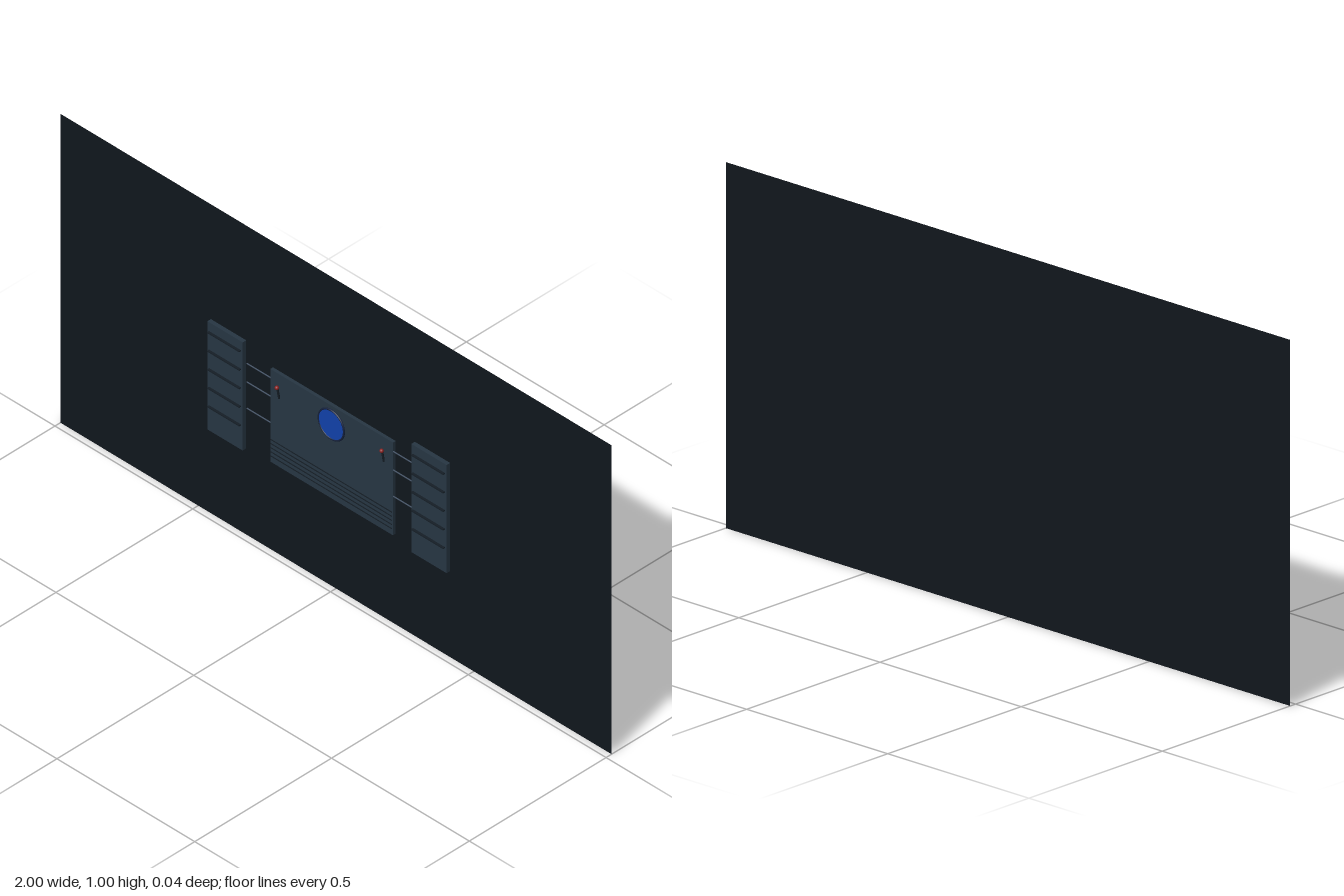
import * as THREE from 'three';

const mat = (color, extra = {}) => new THREE.MeshStandardMaterial({ color, ...extra });

export function createModel() {
  const model = new THREE.Group();
  const wall = mat(0x10161c, { side: THREE.DoubleSide });
  const hull = mat(0x263542);
  const dark = mat(0x151e26);
  const cableMat = mat(0x3c4c60);
  const blue = mat(0x1140a8);
  const navy = mat(0x14203c);
  const red = mat(0x8a2020);

  const add = (name, geometry, material, x, y, z, parent = model) => {
    const mesh = new THREE.Mesh(geometry, material);
    mesh.name = name;
    mesh.position.set(x, y, z);
    parent.add(mesh);
    return mesh;
  };
  const box = (name, w, h, d, material, x, y, z, parent) =>
    add(name, new THREE.BoxGeometry(w, h, d), material, x, y, z, parent);

  // Thin back wall
  add('backWall', new THREE.PlaneGeometry(2, 1), wall, 0, 0.5, -0.02);

  // Central console with vent slats along its lower edge
  const consoleGroup = new THREE.Group();
  consoleGroup.name = 'console';
  model.add(consoleGroup);
  box('consolePanel', 0.445, 0.3, 0.01, hull, 0, 0.45, -0.009, consoleGroup);
  for (let i = 0; i < 5; i++) {
    box('ventSlat', 0.44, 0.003, 0.001, dark, 0, 0.32 + i * 0.0133, -0.0035, consoleGroup);
  }

  // Round blue dial with a dark rim
  const dial = add('dial', new THREE.CylinderGeometry(0.044, 0.044, 0.003, 32), blue, 0, 0.54, -0.003, consoleGroup);
  dial.rotation.x = Math.PI / 2;
  add('dialRim', new THREE.TorusGeometry(0.046, 0.003, 8, 40), navy, 0, 0.54, -0.003, consoleGroup);

  for (const side of [-1, 1]) {
    // Lever with a red knob
    const lever = new THREE.Group();
    lever.name = 'lever';
    model.add(lever);
    const stem = add('leverStem', new THREE.CylinderGeometry(0.003, 0.003, 0.04, 8), dark, side * 0.19, 0.542, 0, lever);
    stem.rotation.x = 0.18;
    add('leverKnob', new THREE.SphereGeometry(0.006, 12, 8), red, side * 0.19, 0.561, 0.005, lever);

    // Side tower with shelf fins
    const tower = new THREE.Group();
    tower.name = 'tower';
    model.add(tower);
    box('towerBody', 0.128, 0.35, 0.013, hull, side * 0.37, 0.475, 0.0065, tower);
    for (let i = 0; i < 5; i++) {
      box('towerFin', 0.116, 0.003, 0.008, dark, side * 0.37, 0.38 + i * 0.06, 0.016, tower);
    }

    // Cables joining the tower to the console
    for (const y of [0.57, 0.51, 0.425]) {
      const cable = add('cable', new THREE.CylinderGeometry(0.002, 0.002, 0.09, 6), cableMat, side * 0.264, y, -0.006);
      cable.rotation.z = Math.PI / 2;
    }
  }

  return model;
}
